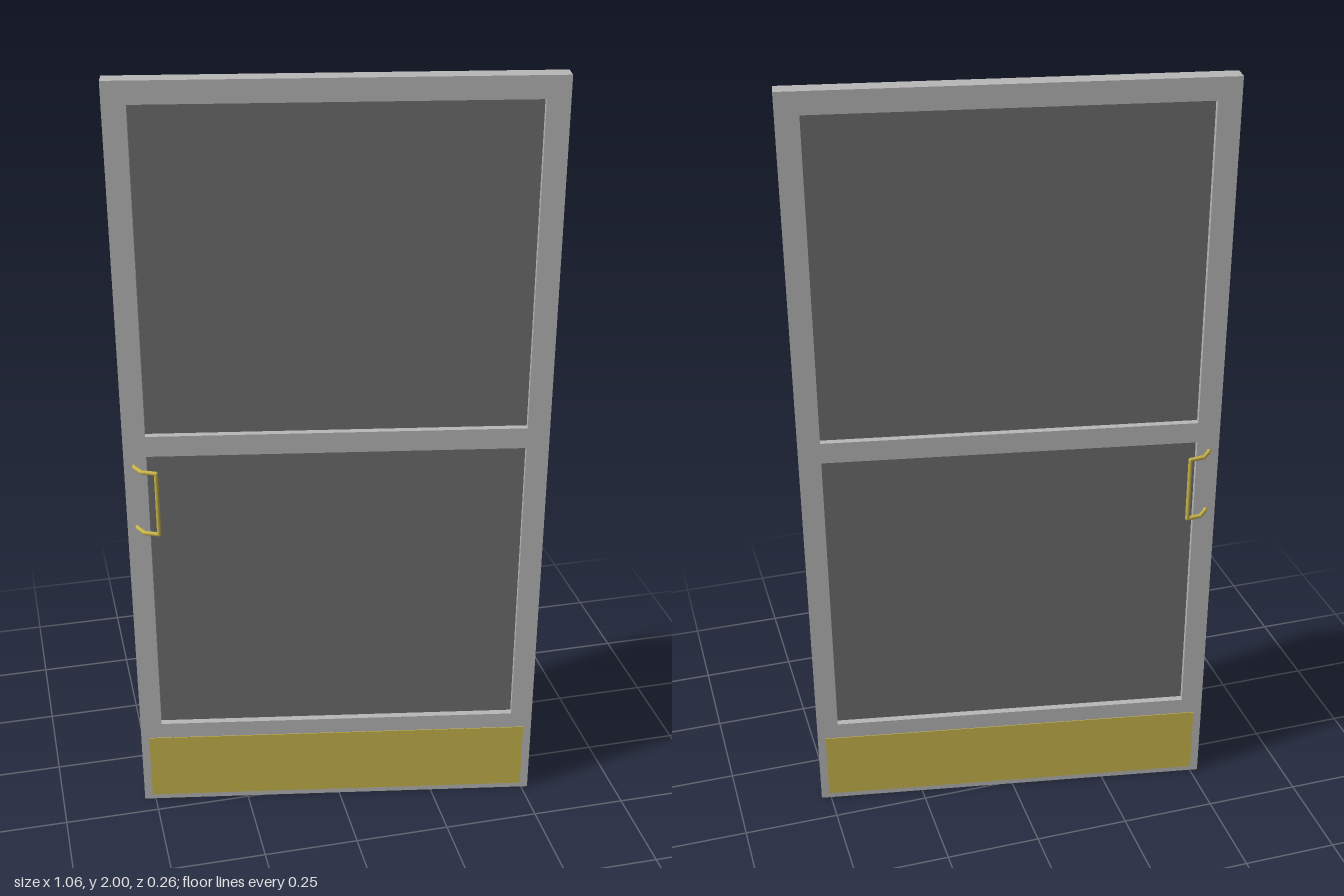
import * as THREE from 'three';

const W = 1.063, H = 2, T = 0.047;

const mat = (name, color, side = THREE.FrontSide) => {
  const m = new THREE.MeshStandardMaterial({ color, side });
  m.name = name;
  return m;
};

function addMesh(parent, name, geometry, material, x = 0, y = 0, z = 0) {
  const mesh = new THREE.Mesh(geometry, material);
  mesh.name = name;
  mesh.position.set(x, y, z);
  parent.add(mesh);
  return mesh;
}

// Round bar between two points
function addBar(parent, name, a, b, radius, material) {
  const dir = b.clone().sub(a);
  const bar = addMesh(parent, name, new THREE.CylinderGeometry(radius, radius, dir.length(), 10), material);
  bar.position.copy(a).add(b).multiplyScalar(0.5);
  bar.quaternion.setFromUnitVectors(new THREE.Vector3(0, 1, 0), dir.normalize());
}

// Pull handle: two bent arms joined by an upright grip
function makeHandle(side, material) {
  const handle = new THREE.Group();
  handle.name = side > 0 ? 'frontHandle' : 'backHandle';
  const profile = [[-0.507, 0.02], [-0.504, 0.031], [-0.486, 0.056], [-0.45, 0.066]];
  const r = 0.0055, ends = [];
  for (const y of [0.862, 1.034]) {
    const pts = profile.map(([x, z]) => new THREE.Vector3(x, y, z * side));
    for (let i = 1; i < pts.length; i++) {
      addBar(handle, 'handleArm', pts[i - 1], pts[i], r, material);
      addMesh(handle, 'handleJoint', new THREE.SphereGeometry(r, 10, 8), material, ...pts[i].toArray());
    }
    ends.push(pts[pts.length - 1]);
  }
  addBar(handle, 'handleGrip', ends[0], ends[1], r, material);
  return handle;
}

export function createModel() {
  const metal = mat('brushedMetal', 0xb8b8b8);
  const glass = mat('smokedGlass', 0x6e6e6e);
  const brass = mat('brass', 0xc8b64c);

  const root = new THREE.Group();
  root.name = 'door';

  // The leaf stands slightly ajar
  const leaf = new THREE.Group();
  leaf.name = 'doorLeaf';
  leaf.rotation.y = -THREE.MathUtils.degToRad(10);
  leaf.position.set(-0.002, 0, 0.015);
  root.add(leaf);

  // Frame with two openings
  const rect = (T2, x0, y0, x1, y1) => {
    T2.moveTo(x0, y0);
    T2.lineTo(x1, y0);
    T2.lineTo(x1, y1);
    T2.lineTo(x0, y1);
    T2.closePath();
    return T2;
  };
  const openings = [[0.25, 1.06], [1.115, 1.945]];
  const ox = 0.475;
  const outline = rect(new THREE.Shape(), -W / 2, 0, W / 2, H);
  for (const [y0, y1] of openings) outline.holes.push(rect(new THREE.Path(), -ox, y0, ox, y1));
  const frame = new THREE.ExtrudeGeometry(outline, { depth: T, bevelEnabled: false });
  frame.translate(0, 0, -T / 2);
  addMesh(leaf, 'doorFrame', frame, metal);

  // Glass panes
  openings.forEach(([y0, y1], i) => {
    addMesh(leaf, i ? 'upperPane' : 'lowerPane',
      new THREE.BoxGeometry(ox * 2, y1 - y0, 0.012), glass, 0, (y0 + y1) / 2, 0);
  });

  // Kick plates and handles on both faces
  for (const side of [1, -1]) {
    addMesh(leaf, side > 0 ? 'frontKickPlate' : 'backKickPlate',
      new THREE.BoxGeometry(1.02, 0.19, 0.003), brass, 0, 0.11, side * (T / 2 + 0.0005));
    leaf.add(makeHandle(side, brass));
  }
  return root;
}
